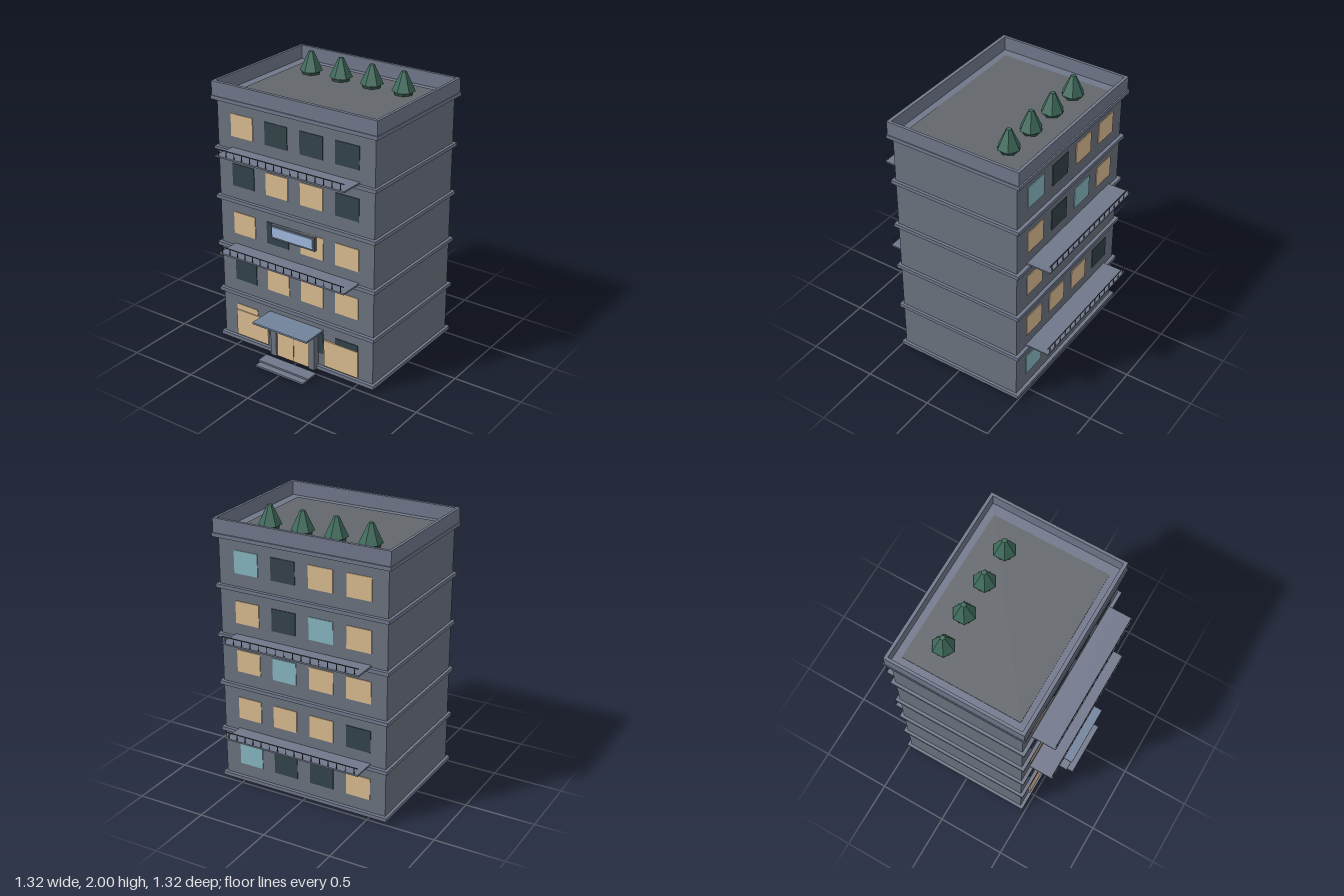
import * as THREE from 'three';

const mat = (color) => new THREE.MeshStandardMaterial({ color, flatShading: true });
const M = {
  wall: mat(0x6a727e), trim: mat(0x70778a), deck: mat(0x63666b), canopy: mat(0x71829a),
  rail: mat(0x4a5058), L: mat(0xd9ba90), D: mat(0x33424a), T: mat(0x86b5bf),
  sign: mat(0x9db8dc), frame: mat(0x565e6a), leaf: mat(0x3f6b5c), leafDark: mat(0x365a4e),
};

// box given by its min and max corners
function box(parent, name, material, [x0, x1], [y0, y1], [z0, z1]) {
  const m = new THREE.Mesh(new THREE.BoxGeometry(x1 - x0, y1 - y0, z1 - z0), material);
  m.position.set((x0 + x1) / 2, (y0 + y1) / 2, (z0 + z1) / 2);
  m.name = name;
  parent.add(m);
  return m;
}

function group(parent, name) {
  const g = new THREE.Group();
  g.name = name;
  parent.add(g);
  return g;
}

const FRONT = 0.458, BACK = -0.485, PITCH = 0.356;
const COLUMNS = [-0.424, -0.143, 0.139, 0.42];

// rows from the ground up, columns from -x to +x
const FRONT_ROWS = ['LDDD', 'DLLL', 'LDLL', 'DLLD', 'LDDD'];
const BACK_ROWS = ['LDDT', 'DLLL', 'LLTL', 'LTDL', 'LLDT'];

function windows(parent, name, rows, z) {
  const g = group(parent, name);
  rows.forEach((row, floor) => COLUMNS.forEach((x, i) => {
    const y = 0.23 + floor * PITCH;
    box(g, 'window', M[row[i]], [x - 0.091, x + 0.091], [y - 0.08, y + 0.08], [z - 0.005, z + 0.005]);
  }));
}

// balcony slab with a thin railing; side is +1 at the front, -1 at the back
function balcony(parent, y, side) {
  const g = group(parent, side > 0 ? 'frontBalcony' : 'backBalcony');
  const wall = side > 0 ? FRONT : BACK;
  const edge = wall + side * 0.175;
  const span = (a, b) => [Math.min(a, b), Math.max(a, b)];
  box(g, 'balconySlab', M.trim, [-0.515, 0.515], [y, y + 0.011], span(wall, edge));
  box(g, 'handrail', M.rail, [-0.515, 0.515], [y + 0.054, y + 0.06], span(edge, edge - side * 0.005));
  for (let i = 0; i < 16; i++) {
    const x = -0.4875 + i * 0.065;
    box(g, 'railPost', M.rail, [x - 0.002, x + 0.002], [y + 0.011, y + 0.054], span(edge, edge - side * 0.004));
  }
}

function tree(parent, x) {
  const g = group(parent, 'roofTree');
  g.position.set(x, 0, -0.253);
  const crown = new THREE.Mesh(new THREE.CylinderGeometry(0.018, 0.08, 0.135, 6), M.leaf);
  crown.name = 'treeCrown';
  crown.position.y = 1.9325;
  const base = new THREE.Mesh(new THREE.CylinderGeometry(0.074, 0.066, 0.023, 6), M.leafDark);
  base.name = 'treeBase';
  base.position.y = 1.8545;
  base.rotation.y = Math.PI / 6;
  g.add(crown, base);
}

export function createModel() {
  const root = new THREE.Group();
  root.name = 'apartmentBuilding';

  // main block and floor bands
  box(root, 'walls', M.wall, [-0.63, 0.63], [0.03, 1.82], [BACK, FRONT]);
  for (let i = 0; i < 5; i++) {
    const y = 0.03 + i * PITCH;
    box(root, 'floorBand', M.trim, [-0.65, 0.65], [y, y + 0.026], [-0.51, 0.482]);
  }
  box(root, 'cornice', M.trim, [-0.66, 0.66], [1.812, 1.838], [-0.522, 0.488]);

  // roof deck and parapet
  box(root, 'roofDeck', M.deck, [-0.565, 0.565], [1.836, 1.843], [-0.441, 0.405]);
  const parapet = group(root, 'parapet');
  box(parapet, 'parapetFront', M.trim, [-0.655, 0.655], [1.838, 1.938], [0.457, 0.482]);
  box(parapet, 'parapetBack', M.trim, [-0.655, 0.655], [1.838, 1.938], [-0.512, -0.49]);
  for (const s of [-1, 1]) {
    const x = s * 0.645;
    box(parapet, 'parapetSide', M.trim, [x - 0.01, x + 0.01], [1.838, 1.938], [-0.49, 0.457]);
  }
  for (let i = 0; i < 4; i++) tree(root, -0.378 + i * 0.251);

  // windows and balconies
  windows(root, 'frontWindows', FRONT_ROWS, FRONT);
  windows(root, 'backWindows', BACK_ROWS, BACK);
  balcony(root, 0.77, 1);
  balcony(root, 1.482, 1);
  balcony(root, 0.414, -1);
  balcony(root, 1.126, -1);

  // wall panel above the second floor
  const panel = group(root, 'wallPanel');
  box(panel, 'panelFrame', M.frame, [-0.183, 0.178], [0.922, 1.022], [0.456, 0.483]);
  box(panel, 'panelFace', M.sign, [-0.17, 0.165], [0.936, 1.01], [0.483, 0.491]);

  // shop windows and entrance
  const entrance = group(root, 'entrance');
  for (const s of [-1, 1]) {
    const x = s * 0.377;
    box(root, 'shopWindow', M.L, [x - 0.138, x + 0.138], [0.068, 0.266], [0.455, 0.47]);
    const j = s * 0.162;
    box(entrance, 'doorJamb', M.wall, [j - 0.023, j + 0.023], [0.03, 0.325], [0.455, 0.51]);
    const d = s * 0.071;
    box(entrance, 'doorLeaf', M.L, [d - 0.068, d + 0.068], [0.028, 0.27], [0.455, 0.495]);
  }
  box(entrance, 'doorHeader', M.wall, [-0.139, 0.139], [0.27, 0.325], [0.455, 0.51]);
  box(entrance, 'doorDivider', M.canopy, [-0.003, 0.003], [0.028, 0.27], [0.455, 0.497]);
  box(entrance, 'canopy', M.canopy, [-0.228, 0.228], [0.325, 0.338], [0.456, 0.653]);
  box(entrance, 'upperStep', M.trim, [-0.215, 0.215], [0.015, 0.027], [0.525, 0.617]);
  box(entrance, 'lowerStep', M.trim, [-0.203, 0.203], [0, 0.013], [0.575, 0.662]);
  return root;
}
